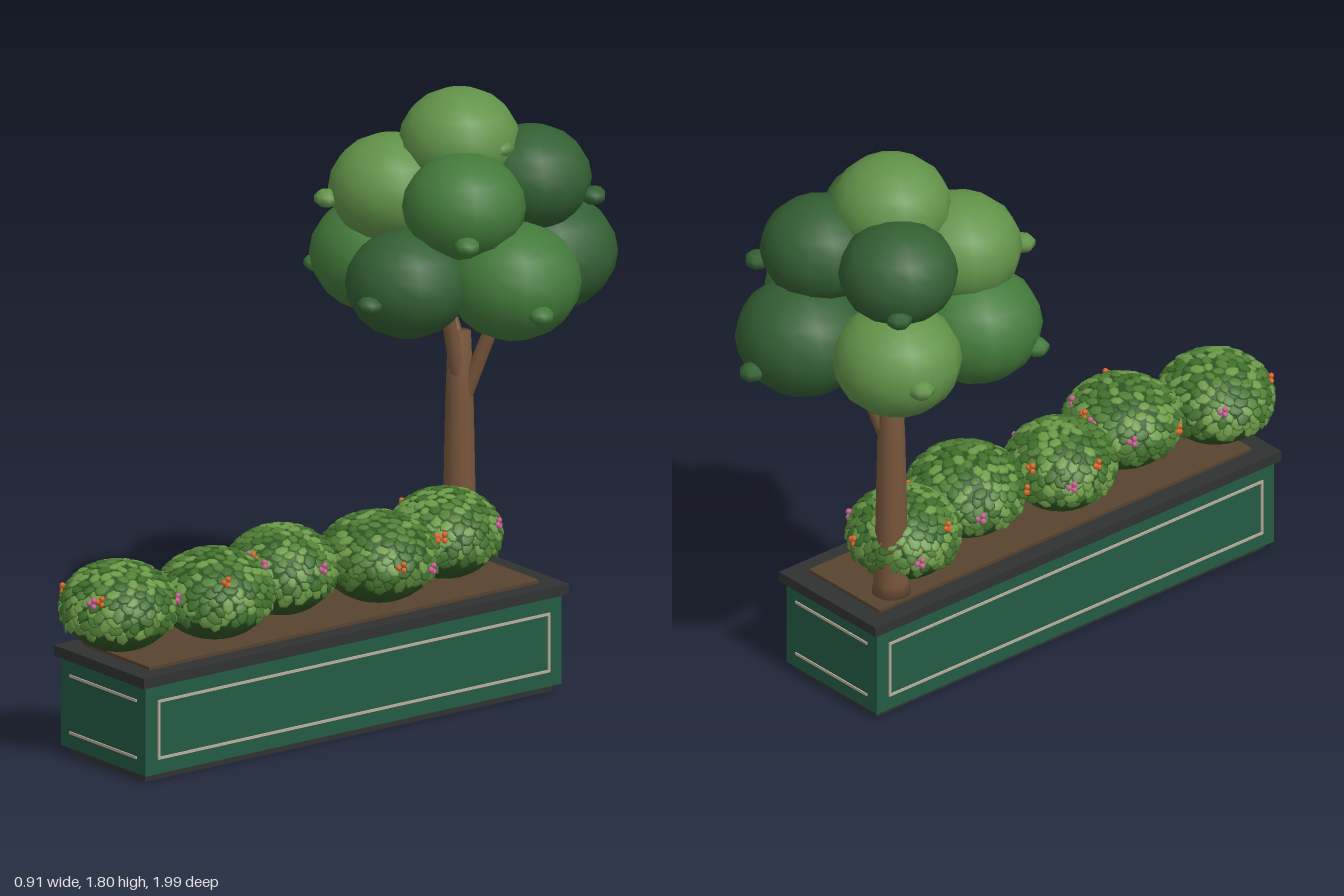
import * as THREE from 'three';
import { mergeGeometries } from 'three/addons/utils/BufferGeometryUtils.js';

const mat = (color, extra = {}) => new THREE.MeshStandardMaterial({ color, ...extra });
const M = {
  green: mat(0x235a44), dark: mat(0x2f3231), trim: mat(0xb9ab98), soil: mat(0x57432f), bark: mat(0x76553b),
  light: mat(0x629349), mid: mat(0x437a3b), deep: mat(0x335f33), bush: mat(0x2f5424),
  leaves: [0x3f6f2b, 0x517f36, 0x6c9a48].map(c => mat(c)),
  flowers: [0xe0672a, 0xd0609a].map(c => mat(c)),
};

function rng(seed) {
  return () => (seed = (seed * 16807) % 2147483647) / 2147483647;
}

function add(parent, name, geometry, material, x = 0, y = 0, z = 0) {
  const mesh = new THREE.Mesh(geometry, material);
  mesh.name = name;
  mesh.position.set(x, y, z);
  parent.add(mesh);
  return mesh;
}

function group(parent, name) {
  const g = new THREE.Group();
  g.name = name;
  parent.add(g);
  return g;
}

// Tapered round limb between two points
function limb(parent, name, a, b, r0, r1) {
  const from = new THREE.Vector3(...a), to = new THREE.Vector3(...b);
  const dir = to.clone().sub(from);
  const mesh = add(parent, name, new THREE.CylinderGeometry(r1, r0, dir.length(), 10), M.bark);
  mesh.position.copy(from).add(to).multiplyScalar(0.5);
  mesh.quaternion.setFromUnitVectors(new THREE.Vector3(0, 1, 0), dir.normalize());
}

function planter(parent) {
  const g = group(parent, 'planter');
  g.position.set(0.065, 0, 0.13);
  const slab = (name, w, y0, y1, d, m) =>
    add(g, name, new THREE.BoxGeometry(w, y1 - y0, d), m, 0, (y0 + y1) / 2, 0);
  slab('base', 0.36, 0, 0.026, 1.505, M.dark);
  slab('box', 0.406, 0.025, 0.3, 1.536, M.green);
  slab('rim', 0.432, 0.298, 0.33, 1.57, M.dark);
  slab('soil', 0.315, 0.32, 0.34, 1.44, M.soil);

  // Raised trim lines on the panels
  const t = 0.008;
  for (const s of [-1, 1]) {
    for (const y of [0.073, 0.247]) {
      add(g, 'sideTrim', new THREE.BoxGeometry(t, t, 1.448), M.trim, s * 0.203, y, 0);
      add(g, 'endTrim', new THREE.BoxGeometry(0.32, t, t), M.trim, 0, y, s * 0.768);
    }
    for (const z of [-0.72, 0.72])
      add(g, 'sideTrimUpright', new THREE.BoxGeometry(t, 0.174, t), M.trim, s * 0.203, 0.16, z);
  }
}

function tree(parent) {
  const g = group(parent, 'tree');

  // Trunk with flared foot, and branches
  const profile = [[0, 0.33], [0.06, 0.33], [0.053, 0.38], [0.048, 0.55], [0.042, 0.85], [0.034, 1.06], [0, 1.06]];
  add(g, 'trunk', new THREE.LatheGeometry(profile.map(p => new THREE.Vector2(...p)), 12), M.bark, -0.03, 0, -0.49);
  limb(g, 'branch', [-0.015, 0.87, -0.5], [0.09, 1.25, -0.6], 0.024, 0.018);
  limb(g, 'branch', [-0.03, 1.0, -0.49], [-0.16, 1.25, -0.5], 0.024, 0.018);
  limb(g, 'branch', [-0.025, 0.88, -0.49], [0, 1.25, -0.4], 0.024, 0.018);

  // Crown: x, y, z, radius, colour
  const crown = [
    [-0.23, 1.28, -0.34, 0.2, 'mid'], [0.06, 1.275, -0.23, 0.185, 'deep'], [0.23, 1.275, -0.49, 0.2, 'mid'],
    [0.05, 1.275, -0.76, 0.202, 'deep'], [-0.24, 1.28, -0.65, 0.192, 'light'],
    [-0.15, 1.5, -0.33, 0.185, 'light'], [0.135, 1.5, -0.38, 0.182, 'mid'],
    [0.08, 1.525, -0.67, 0.178, 'deep'], [-0.2, 1.54, -0.61, 0.176, 'deep'],
    [-0.03, 1.645, -0.49, 0.178, 'light'],
  ];
  const ball = new THREE.SphereGeometry(1, 14, 10);
  for (const [x, y, z, r, c] of crown)
    add(g, 'foliageClump', ball, M[c], x, y, z).scale.set(r, r * 0.87, r);

  // Small tufts poking out of the clumps
  const tufts = [
    [-0.42, 1.275, -0.71, 'light'], [-0.39, 1.23, -0.24, 'mid'], [-0.23, 1.48, -0.155, 'light'],
    [0.105, 1.25, -0.055, 'deep'], [0.28, 1.43, -0.28, 'mid'], [0.415, 1.22, -0.45, 'mid'],
    [0.05, 1.225, -0.96, 'deep'], [0.21, 1.475, -0.8, 'deep'], [0.11, 1.645, -0.53, 'light'],
    [-0.32, 1.47, -0.71, 'deep'],
  ];
  const tuft = new THREE.SphereGeometry(1, 7, 5);
  for (const [x, y, z, c] of tufts)
    add(g, 'foliageTuft', tuft, M[c], x, y, z).scale.set(0.04, 0.028, 0.04);
}

function bush(parent, x, z, r, seed) {
  const g = group(parent, 'bush');
  g.position.set(x, 0.475, z);
  const rand = rng(seed), h = 0.132;
  add(g, 'bushBody', new THREE.SphereGeometry(1, 20, 14), M.bush).scale.set(r * 0.95, h, r * 0.95);

  // Point and outward direction on the bush
  const spot = (ny, a) => {
    const s = Math.sqrt(1 - ny * ny);
    const n = new THREE.Vector3(s * Math.cos(a), ny, s * Math.sin(a));
    const p = new THREE.Vector3(n.x * r * 0.96, n.y * h, n.z * r * 0.96);
    return [p, new THREE.Vector3(n.x / r, n.y / h, n.z / r).normalize()];
  };

  // Overlapping leaves, spread evenly by the golden angle
  const unit = new THREE.SphereGeometry(1, 6, 4);
  const sets = M.leaves.map(() => []);
  const dummy = new THREE.Object3D();
  const count = 230;
  for (let i = 0; i < count; i++) {
    const [p, n] = spot(1 - 1.4 * (i + 0.5) / count, i * 2.39996 + rand() * 0.1);
    n.y += 0.2 + rand() * 0.25;
    dummy.position.copy(p);
    dummy.quaternion.setFromUnitVectors(new THREE.Vector3(0, 1, 0), n.normalize());
    dummy.rotateY(rand() * 6.28);
    const k = 0.8 + rand() * 0.35;
    dummy.scale.set(0.025 * k, 0.005, 0.018 * k);
    dummy.updateMatrix();
    sets[Math.floor(rand() * 3)].push(unit.clone().applyMatrix4(dummy.matrix));
  }
  sets.forEach((s, i) => add(g, 'leaves', mergeGeometries(s), M.leaves[i]));

  // Little blossom clusters around the sides
  const blossom = new THREE.SphereGeometry(0.009, 6, 5);
  for (let i = 0; i < 6; i++) {
    const [p, n] = spot(-0.1 + rand() * 0.7, i * 1.05 + rand());
    p.addScaledVector(n, 0.007);
    for (let j = 0; j < 3; j++) {
      const a = j * 2.09;
      add(g, 'blossom', blossom, M.flowers[i % 2],
        p.x - n.z * 0.011 * Math.cos(a), p.y + 0.011 * Math.sin(a), p.z + n.x * 0.011 * Math.cos(a));
    }
  }
}

export function createModel() {
  const model = new THREE.Group();
  model.name = 'treePlanter';
  planter(model);
  tree(model);
  // Row of bushes staggered along the box: x, z, radius
  [[0.03, 0.815, 0.178], [0.1, 0.515, 0.18], [0.03, 0.215, 0.17], [0.1, -0.09, 0.183], [0.03, -0.39, 0.172]]
    .forEach(([x, z, r], i) => bush(model, x, z, r, 101 + i * 977));
  return model;
}
